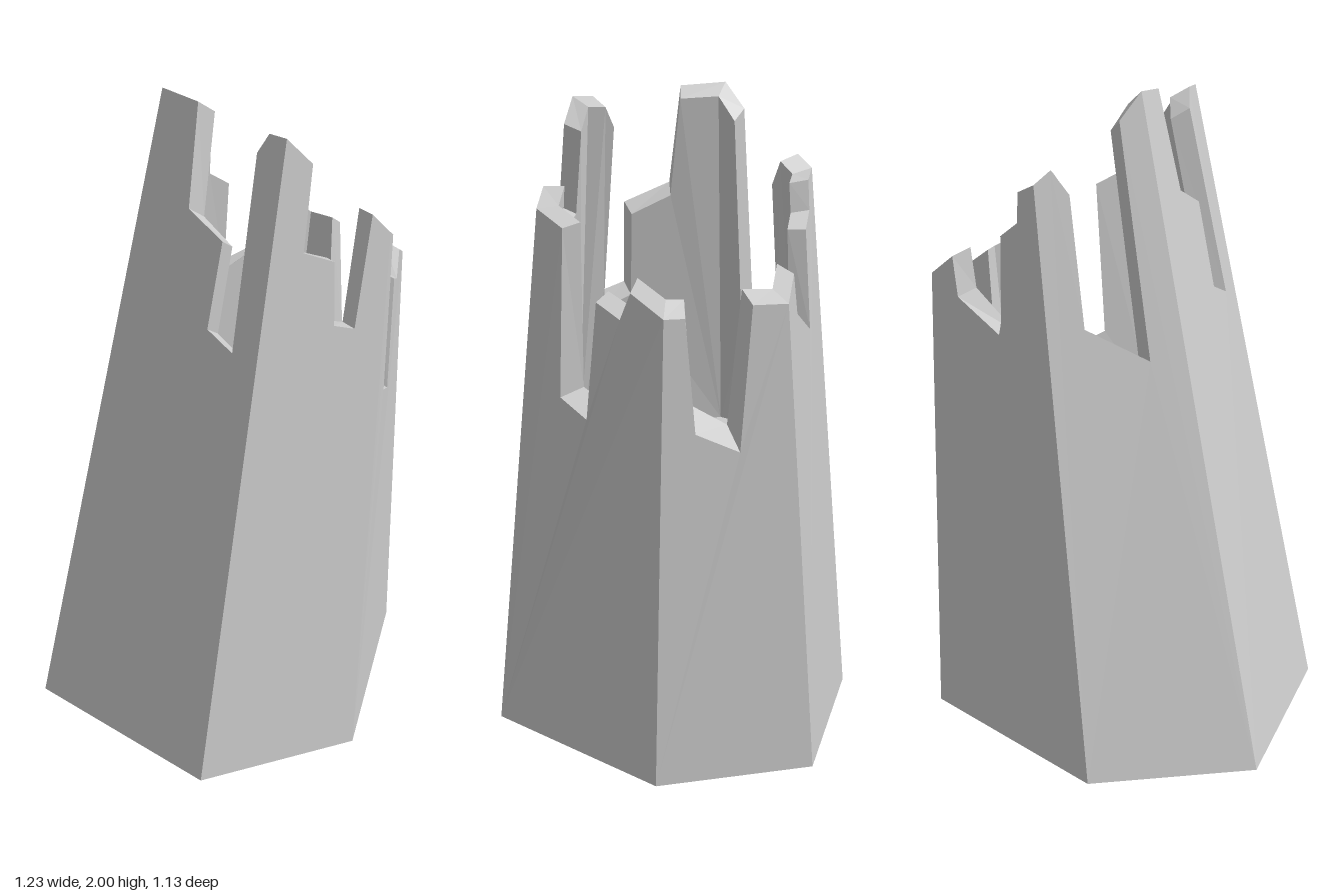
import * as THREE from 'three';

// Corners of the leaning hexagonal trunk [x, z], at the foot and at y = 2
const FOOT = [[-0.235, -0.57], [-0.615, -0.22], [-0.435, 0.455], [0.07, 0.565], [0.6, 0.07], [0.47, -0.4]];
const TOP = [[0.09, -0.385], [-0.15, -0.155], [-0.035, 0.312], [0.298, 0.378], [0.617, 0.035], [0.545, -0.265]];
const FLOOR = 0.9;

// Broken upper edge of each side: [fraction along the side, height]
const EDGES = [
  [[0, 1.75], [0.15, 1.79], [0.28, 1.72], [0.28, 1.34], [0.73, 1.24], [0.77, 1.92], [1, 2]],
  [[0, 2], [0.3, 1.99], [0.37, 1.69], [0.65, 1.63], [0.64, 1.37], [0.83, 1.33], [0.8, 1.9], [0.87, 1.96], [1, 1.96]],
  [[0, 1.96], [0.26, 1.88], [0.27, 1.63], [0.54, 1.59], [0.59, 1.4], [0.76, 1.38], [0.83, 1.71], [1, 1.65]],
  [[0, 1.65], [0.22, 1.6], [0.28, 1.1], [0.48, 1.05], [0.51, 1.4], [0.69, 1.36], [0.76, 1.44], [1, 1.38]],
  [[0, 1.38], [0.17, 1.38], [0.25, 1.05], [0.58, 0.99], [0.71, 1.41], [1, 1.41]],
  [[0, 1.41], [0.2, 1.48], [0.24, 1.36], [0.61, 1.28], [0.66, 1.58], [0.82, 1.63], [0.85, 1.72], [1, 1.75]],
];

// Corner of the outer surface at height y
function corner(i, y) {
  const a = FOOT[i % 6], b = TOP[i % 6], k = y / 2;
  return new THREE.Vector3(a[0] + (b[0] - a[0]) * k, y, a[1] + (b[1] - a[1]) * k);
}

// Corner of the hollow, set in towards the axis; the wall thickens downwards
function innerCorner(i, y) {
  const p = corner(i, y);
  const inward = new THREE.Vector3(0.12 * y, y, 0).sub(p).normalize();
  return p.addScaledVector(inward, 0.065 + 0.09 * Math.max(0, 1.4 - y));
}

const outerPoint = (side, t, y) => corner(side, y).lerp(corner(side + 1, y), t);

// The broken edge slants across the wall thickness
function innerPoint(side, t, y) {
  const p = innerCorner(side, y).lerp(innerCorner(side + 1, y), t);
  const slant = Math.min(1, (y - FLOOR) / 0.09);
  p.y -= 0.7 * slant * (p.x - outerPoint(side, t, y).x);
  return p;
}

// Flat side with a jagged top, drawn in (t, y) and mapped into place
function wallGeometry(side, base, point, flip) {
  const outline = [[0, base], [1, base], ...EDGES[side].slice().reverse()];
  const geo = new THREE.ShapeGeometry(new THREE.Shape(outline.map(([t, y]) => new THREE.Vector2(t, y))));
  const pos = geo.attributes.position;
  for (let i = 0; i < pos.count; i++) {
    const p = point(side, pos.getX(i), pos.getY(i));
    pos.setXYZ(i, p.x, p.y, p.z);
  }
  if (flip) geo.index.array.reverse();
  return finish(geo);
}

function finish(geo) {
  const flat = geo.index ? geo.toNonIndexed() : geo;
  flat.computeVertexNormals();
  return flat;
}

// Broken surface across the wall thickness
function rimGeometry(side) {
  const pts = [];
  const edge = EDGES[side];
  for (let i = 0; i < edge.length - 1; i++) {
    const o0 = outerPoint(side, ...edge[i]), o1 = outerPoint(side, ...edge[i + 1]);
    const i0 = innerPoint(side, ...edge[i]), i1 = innerPoint(side, ...edge[i + 1]);
    pts.push(o0, o1, i1, o0, i1, i0);
  }
  return finish(new THREE.BufferGeometry().setFromPoints(pts));
}

// Hexagonal cap from a ring of corners
function capGeometry(ring, up) {
  const pts = [];
  for (let i = 1; i < 5; i++) pts.push(ring[0], ring[up ? i : i + 1], ring[up ? i + 1 : i]);
  return finish(new THREE.BufferGeometry().setFromPoints(pts));
}

export function createModel() {
  const group = new THREE.Group();
  group.name = 'brokenStump';
  const material = new THREE.MeshStandardMaterial({ color: 0xcccccc, flatShading: true });
  const add = (name, geo) => {
    const mesh = new THREE.Mesh(geo, material);
    mesh.name = name;
    group.add(mesh);
  };

  for (let side = 0; side < 6; side++) {
    add(`outerWall${side + 1}`, wallGeometry(side, 0, outerPoint, false));
    add(`innerWall${side + 1}`, wallGeometry(side, FLOOR, innerPoint, true));
    add(`splinteredRim${side + 1}`, rimGeometry(side));
  }

  const sides = [0, 1, 2, 3, 4, 5];
  add('hollowFloor', capGeometry(sides.map((i) => innerCorner(i, FLOOR)), true));
  add('underside', capGeometry(sides.map((i) => corner(i, 0)), false));
  return group;
}
